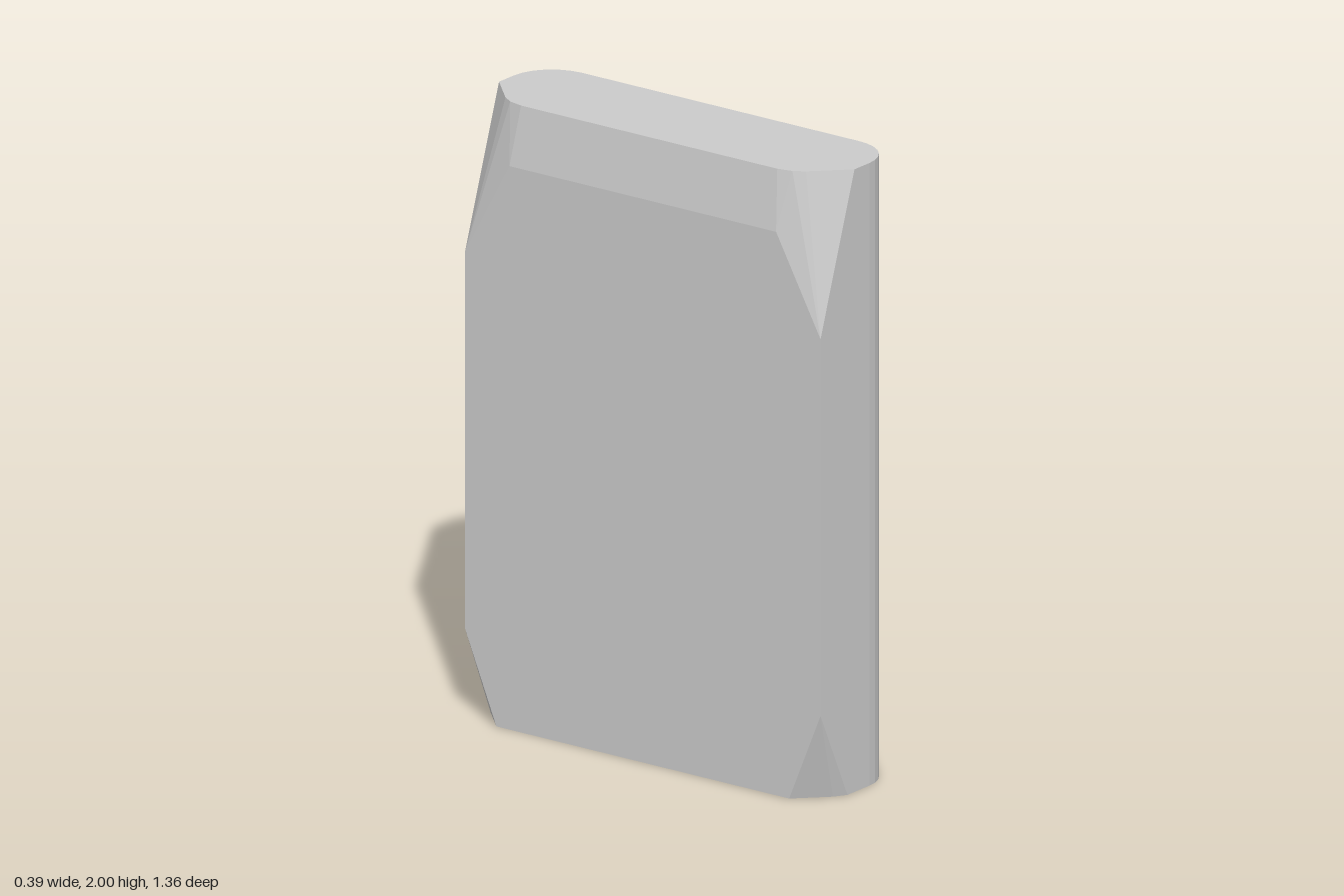
import * as THREE from 'three';
import { ConvexGeometry } from 'three/addons/geometries/ConvexGeometry.js';

const HALF_DEPTH = 0.68;
const SIDE = 0.195; // half the thickness

export function createModel() {
  const group = new THREE.Group();
  const points = [];
  // adds a point and its mirror image across z
  const pair = (x, y, z) => points.push(new THREE.Vector3(x, y, z), new THREE.Vector3(x, y, -z));

  // rounded vertical edges on the +x side, full height
  const segments = 7;
  for (let i = 0; i <= segments; i++) {
    const a = (i / segments) * Math.PI / 2;
    const x = 0.05 + (SIDE - 0.05) * Math.sin(a);
    const z = 0.53 + (HALF_DEPTH - 0.53) * Math.cos(a);
    pair(x, 0, z);
    pair(x, 2, z);
  }

  // sharp vertical edges on the -x side, between the corner cuts
  pair(-SIDE, 1.5, HALF_DEPTH);
  pair(-SIDE, 0.29, HALF_DEPTH);

  // upper corner cuts and the sloped bevel along the top
  pair(-0.025, 2, HALF_DEPTH);
  pair(-0.13, 2, 0.575);
  pair(-0.152, 2, 0.54);
  pair(-0.163, 2, 0.49);
  pair(-SIDE, 1.81, 0.51);

  // lower corner cuts
  pair(-0.06, 0, HALF_DEPTH);
  pair(-0.1, 0, 0.655);
  pair(-SIDE, 0, 0.56);

  const body = new THREE.Mesh(
    new ConvexGeometry(points),
    new THREE.MeshStandardMaterial({ color: 0xcccccc, flatShading: true })
  );
  body.name = 'bevelledBlock';
  group.add(body);
  return group;
}
